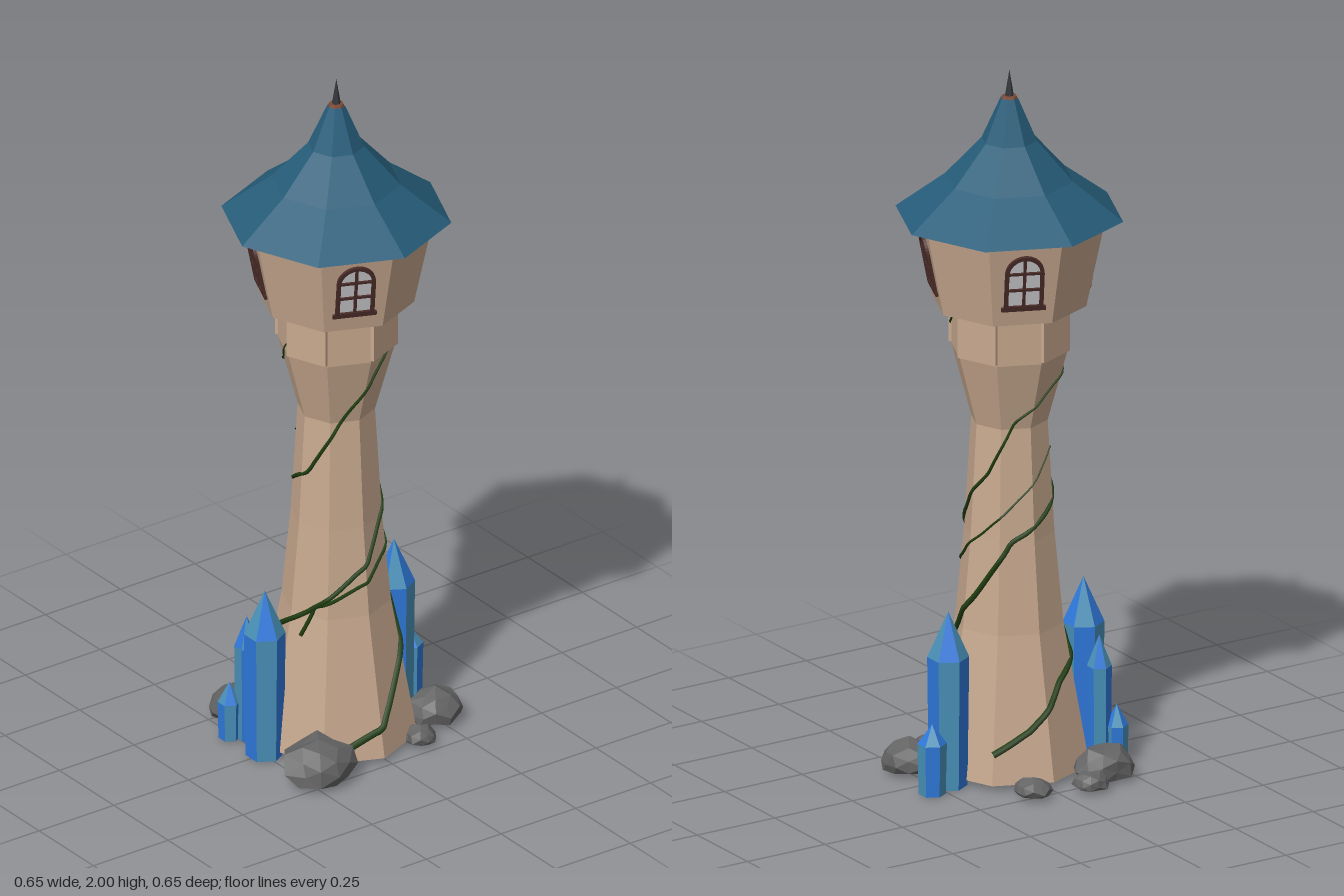
import * as THREE from 'three';
import { mergeGeometries } from 'three/addons/utils/BufferGeometryUtils.js';

const DEG = Math.PI / 180;
const mat = (name, color, opts = {}) => {
  const m = new THREE.MeshStandardMaterial({ color, flatShading: true, ...opts });
  m.name = name;
  return m;
};

// Octagonal shaft profile: [radius, height]
const SHAFT = [[0.222, 0.015], [0.15, 0.42], [0.125, 0.68], [0.106, 1.0], [0.16, 1.2], [0.16, 1.335]];
const ROOF = [[0.315, 1.585], [0.177, 1.69], [0.077, 1.8], [0.024, 1.92]];

// Stack of open octagonal frustums following a profile
function stack(profile) {
  const parts = [];
  for (let i = 0; i < profile.length - 1; i++) {
    const [r0, y0] = profile[i], [r1, y1] = profile[i + 1];
    parts.push(new THREE.CylinderGeometry(r1, r0, y1 - y0, 8, 1, true).translate(0, (y0 + y1) / 2, 0));
  }
  return mergeGeometries(parts);
}

// Distance from the axis to the octagonal shaft wall
function wallRadius(y, deg) {
  let i = 0;
  while (i < SHAFT.length - 2 && y > SHAFT[i + 1][1]) i++;
  const [r0, y0] = SHAFT[i], [r1, y1] = SHAFT[i + 1];
  const r = r0 + (r1 - r0) * (y - y0) / (y1 - y0);
  const local = ((deg % 45) + 45) % 45 - 22.5;
  return r * Math.cos(22.5 * DEG) / Math.cos(local * DEG);
}

// Tapering vine wound round the shaft; keys are [angle in degrees, height]
function vineGeometry(keys, r0, r1) {
  const pts = [];
  for (let k = 0; k < keys.length - 1; k++) {
    for (let s = 0; s < 6; s++) {
      const t = s / 6;
      const a = keys[k][0] + (keys[k + 1][0] - keys[k][0]) * t;
      const y = keys[k][1] + (keys[k + 1][1] - keys[k][1]) * t;
      const r = wallRadius(y, a) + 0.004;
      pts.push(new THREE.Vector3(Math.sin(a * DEG) * r, y, Math.cos(a * DEG) * r));
    }
  }
  const curve = new THREE.CatmullRomCurve3(pts), seg = 120, sides = 5;
  const geo = new THREE.TubeGeometry(curve, seg, 1, sides);
  const pos = geo.attributes.position, v = new THREE.Vector3();
  for (let i = 0; i <= seg; i++) {
    const c = curve.getPointAt(i / seg), r = r0 + (r1 - r0) * i / seg;
    for (let j = 0; j <= sides; j++) {
      const n = i * (sides + 1) + j;
      v.fromBufferAttribute(pos, n).sub(c).multiplyScalar(r).add(c);
      pos.setXYZ(n, v.x, v.y, v.z);
    }
  }
  return geo;
}

// Arched outline
function arch(w, bottom, spring) {
  const s = new THREE.Shape();
  s.moveTo(-w, bottom);
  s.lineTo(w, bottom);
  s.lineTo(w, spring);
  s.absarc(0, spring, w, 0, Math.PI, false);
  s.closePath();
  return s;
}

// Irregular faceted rock with a flat base
function rockGeometry(rx, h, rz, seed) {
  const geo = new THREE.IcosahedronGeometry(1, 1), pos = geo.attributes.position;
  for (let i = 0; i < pos.count; i++) {
    const x = pos.getX(i), y = pos.getY(i), z = pos.getZ(i);
    const k = 0.92 + 0.14 * Math.sin(x * 5.1 + seed) * Math.cos(z * 4.3 + seed * 2 + y * 3);
    pos.setXYZ(i, x * k * rx, Math.max(0.012, h * (0.35 + 0.65 * y * k)), z * k * rz);
  }
  geo.computeVertexNormals();
  return geo;
}

export function createModel() {
  const stone = mat('tan stone', 0xc8a98f), roofBlue = mat('roof blue', 0x265d7a);
  const dark = mat('dark slate', 0x33373a), copper = mat('copper brown', 0x7d4a38);
  const frameMat = mat('window frame', 0x4a2c28), pane = mat('window pane', 0xcccccf);
  const blue = mat('crystal blue', 0x2f78da), teal = mat('crystal teal', 0x4990b8);
  const vineMat = mat('vine green', 0x213f12, { flatShading: false }), rockMat = mat('rock grey', 0x646464);

  const model = new THREE.Group();
  const add = (parent, name, geo, material) => {
    const m = new THREE.Mesh(geo, material);
    m.name = name;
    parent.add(m);
    return m;
  };

  const tower = new THREE.Group();
  tower.name = 'tower';
  tower.position.set(-0.014, 0, 0.012);
  model.add(tower);

  // Shaft, base and cabin
  add(tower, 'shaft', stack(SHAFT), stone);
  add(tower, 'base', new THREE.CircleGeometry(0.222, 8).rotateX(Math.PI / 2).translate(0, 0.015, 0), stone);
  add(tower, 'cabin', new THREE.CylinderGeometry(0.265, 0.213, 0.25, 8).translate(0, 1.46, 0), stone);

  // Roof with dark underside, cap and spike
  add(tower, 'roof', stack(ROOF), roofBlue);
  add(tower, 'roofUnderside', new THREE.CircleGeometry(0.315, 8).rotateX(Math.PI / 2).translate(0, 1.584, 0), dark);
  add(tower, 'roofCap', new THREE.CylinderGeometry(0.02, 0.025, 0.012, 8).translate(0, 1.92, 0), copper);
  add(tower, 'spike', new THREE.ConeGeometry(0.013, 0.08, 6).translate(0, 1.96, 0), dark);

  // Four windows and, on the faces between them, raised collar blocks
  const frameShape = arch(0.054, -0.08, 0.03);
  frameShape.holes.push(arch(0.043, -0.069, 0.03));
  const frameGeo = new THREE.ExtrudeGeometry(frameShape, { depth: 0.009, bevelEnabled: false, curveSegments: 10 });
  const paneGeo = new THREE.ShapeGeometry(arch(0.048, -0.075, 0.03), 10).translate(0, 0, 0.002);
  const bar = (w, h, x, y) => new THREE.BoxGeometry(w, h, 0.008).translate(x, y, 0.004);
  const barsGeo = mergeGeometries([
    bar(0.008, 0.15, 0, 0), bar(0.09, 0.007, 0, -0.02), bar(0.09, 0.007, 0, 0.03), bar(0.122, 0.012, 0, -0.079),
  ]);
  for (let i = 0; i < 4; i++) {
    const a = (-22.5 + i * 90) * DEG, r = 0.2215;
    const win = new THREE.Group();
    win.name = 'window';
    win.rotation.order = 'YXZ';
    win.rotation.set(Math.atan(0.192), a, 0);
    win.position.set(Math.sin(a) * r, 1.465, Math.cos(a) * r);
    add(win, 'windowFrame', frameGeo, frameMat);
    add(win, 'windowBars', barsGeo, frameMat);
    add(win, 'windowPane', paneGeo, pane);
    tower.add(win);

    const b = (22.5 + i * 90) * DEG;
    const block = add(tower, 'collarBlock', new THREE.BoxGeometry(0.124, 0.13, 0.02), stone);
    block.rotation.y = b;
    block.position.set(Math.sin(b) * 0.147, 1.27, Math.cos(b) * 0.147);
  }

  // Vines
  const vines = [
    [[[-35, 0.04], [0, 0.1], [38, 0.25], [65, 0.4], [103, 0.52], [150, 0.68], [280, 0.84], [355, 1.08], [400, 1.25], [430, 1.325]], 0.011, 0.003],
    [[[135, 0.1], [165, 0.16], [200, 0.27], [290, 0.43], [360, 0.57], [410, 0.72], [475, 0.87], [515, 1.02], [600, 1.16], [650, 1.3]], 0.010, 0.002],
    [[[-75, 0.36], [-60, 0.45], [0, 0.52], [60, 0.61], [110, 0.7], [160, 0.8], [240, 0.95]], 0.006, 0.002],
  ];
  for (const [keys, r0, r1] of vines) add(tower, 'vine', vineGeometry(keys, r0, r1), vineMat);

  // Crystals: six-sided prism and point, faces in two blues
  const crystals = [ // x, z, radius, shoulder, tip
    [-0.245, 0.0, 0.057, 0.37, 0.5], [0.215, -0.037, 0.057, 0.37, 0.5], [0.288, -0.07, 0.04, 0.145, 0.2],
    [-0.225, -0.11, 0.034, 0.28, 0.37], [-0.265, -0.135, 0.032, 0.11, 0.17],
  ];
  crystals.forEach(([x, z, r, shoulder, tip], n) => {
    const crystal = new THREE.Group();
    crystal.name = 'crystal';
    crystal.position.set(x, 0, z);
    for (let f = 0; f < 6; f++) {
      const start = f * Math.PI / 3, odd = (f + n) % 2;
      add(crystal, 'crystalSide', new THREE.CylinderGeometry(r, r * 0.92, shoulder, 1, 1, true, start, Math.PI / 3)
        .translate(0, shoulder / 2, 0), odd ? teal : blue);
      add(crystal, 'crystalPoint', new THREE.ConeGeometry(r, tip - shoulder, 1, 1, true, start, Math.PI / 3)
        .translate(0, (tip + shoulder) / 2, 0), odd ? blue : teal);
    }
    add(crystal, 'crystalBase', new THREE.CircleGeometry(r * 0.92, 6).rotateX(Math.PI / 2).rotateY(Math.PI / 6), blue);
    model.add(crystal);
  });

  // Rocks round the foot
  const rocks = [ // x, z, half width, height, half depth
    [-0.21, 0.2, 0.108, 0.125, 0.105], [0.245, 0.11, 0.088, 0.1, 0.08], [0.13, 0.2, 0.05, 0.06, 0.045],
    [-0.17, -0.22, 0.095, 0.1, 0.08], [-0.085, -0.285, 0.052, 0.06, 0.048], [0.075, -0.245, 0.055, 0.06, 0.055],
  ];
  rocks.forEach(([x, z, rx, h, rz], i) => {
    add(model, 'rock', rockGeometry(rx, h, rz, i * 1.7), rockMat).position.set(x, 0, z);
  });

  return model;
}
